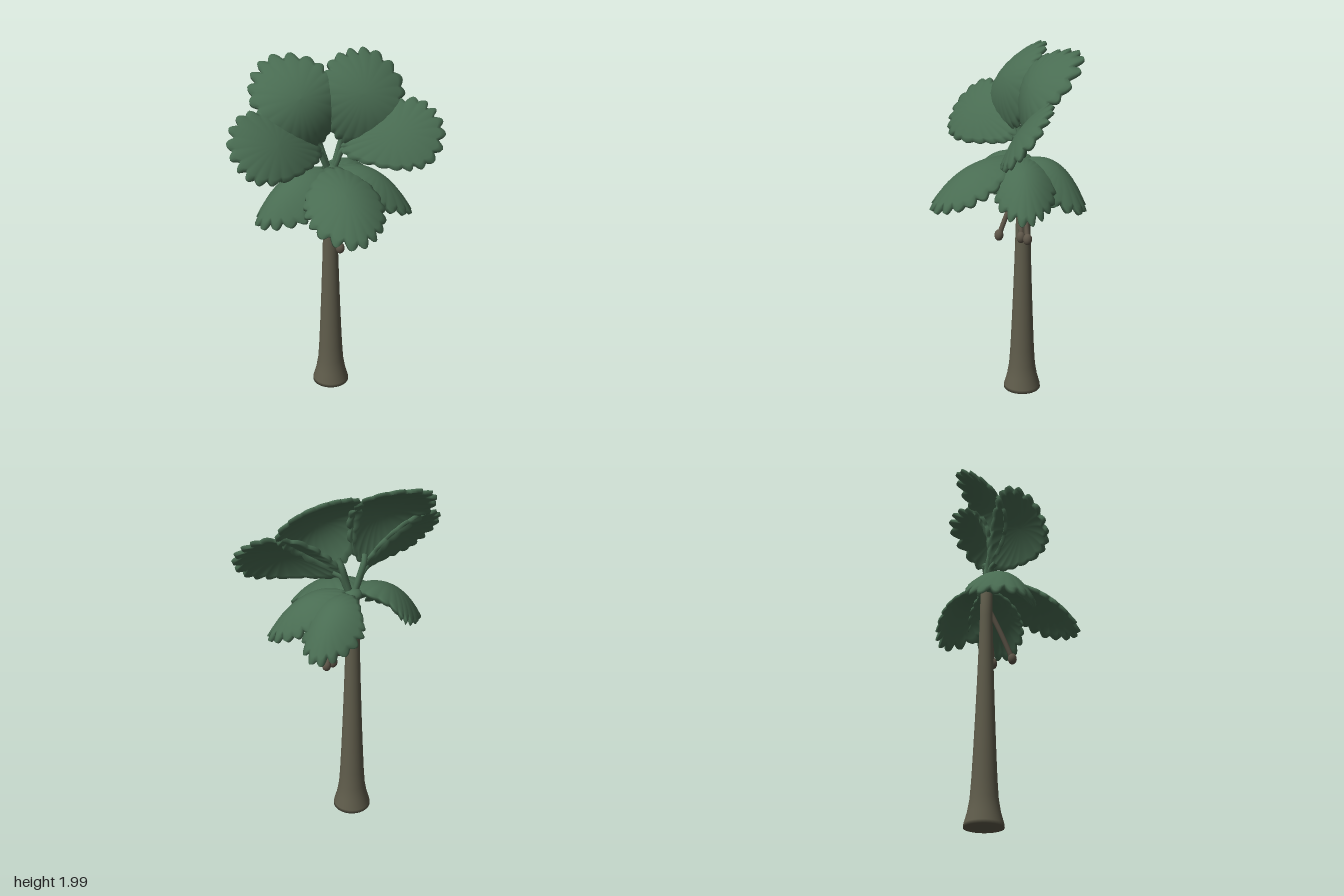
import * as THREE from 'three';

const V = (x, y, z) => new THREE.Vector3(x, y, z);
const leafGreen = new THREE.MeshStandardMaterial({ color: 0x496c52 });
leafGreen.name = 'leaf green';
const barkBrown = new THREE.MeshStandardMaterial({ color: 0x5f5c4b });
barkBrown.name = 'bark brown';
const fruitBrown = new THREE.MeshStandardMaterial({ color: 0x5d5548 });
fruitBrown.name = 'fruit brown';

const TRUNK_Z = -0.145;

function add(group, name, geometry, material) {
  const mesh = new THREE.Mesh(geometry, material);
  mesh.name = name;
  group.add(mesh);
  return mesh;
}

// Scalloped blade bent along a midrib curve: one closed grid of rings, up over the top and back underneath
function bladeGeometry(curve, up, halfWidth, droop, taper) {
  const SEG = 160, RINGS = 8, THICK = 0.02, LOBES = 20;
  const [p0, p1, p2] = [curve.v0, curve.v1, curve.v2];
  const profile = [];
  for (let i = 0; i <= RINGS; i++) profile.push([Math.max(0.001, i / RINGS), 0.5]);
  for (let i = RINGS; i >= 0; i--) profile.push([Math.max(0.001, i / RINGS), -0.5]);
  const pos = [], index = [];
  for (const [r, layer] of profile) {
    for (let j = 0; j < SEG; j++) {
      const a = (j / SEG) * Math.PI * 2;
      const hump = Math.abs(Math.sin((a * LOBES) / 2 + 0.4 * Math.sin(3 * a)));
      const tipward = (0.3 + 0.35 * (1 + Math.sin(a))) * (0.8 + 0.25 * Math.sin(7 * a));
      const rr = r * (1 - 0.18 * (1 - hump) * tipward * r ** 3);
      const t = 0.5 + 0.5 * rr * Math.sin(a);
      const u = halfWidth * rr * Math.cos(a) * (1 + taper * (t - 0.6));
      // point and frame on the midrib (formula also holds a little past its ends)
      const m = V(0, 0, 0).addScaledVector(p0, (1 - t) ** 2).addScaledVector(p1, 2 * t * (1 - t)).addScaledVector(p2, t * t);
      const tan = p1.clone().sub(p0).multiplyScalar(1 - t).addScaledVector(p2.clone().sub(p1), t).normalize();
      const side = tan.clone().cross(up).normalize();
      const normal = side.clone().cross(tan);
      const h = layer * THICK - droop * u * u + 0.004 * (hump - 0.5) * r ** 3;
      m.addScaledVector(side, u).addScaledVector(normal, h);
      pos.push(m.x, m.y, m.z);
    }
  }
  for (let i = 0; i < profile.length - 1; i++) {
    for (let j = 0; j < SEG; j++) {
      const k = (j + 1) % SEG;
      const a = i * SEG + j, b = (i + 1) * SEG + j, c = (i + 1) * SEG + k, d = i * SEG + k;
      index.push(a, b, c, a, c, d);
    }
  }
  const g = new THREE.BufferGeometry();
  g.setAttribute('position', new THREE.Float32BufferAttribute(pos, 3));
  g.setIndex(index);
  g.computeVertexNormals();
  return g;
}

// Blade plus the stalk that runs from the crown to the underside of the blade
function leaf(name, base, mid, tip, up, halfWidth, droop, taper, stalkRadius) {
  const group = new THREE.Group();
  group.name = name;
  const curve = new THREE.QuadraticBezierCurve3(base, mid, tip);
  add(group, 'blade', bladeGeometry(curve, up, halfWidth, droop, taper), leafGreen);
  const foot = V(base.x * 0.1, 1.36, TRUNK_Z + 0.01);
  const under = (t) => curve.getPoint(t).addScaledVector(up, -stalkRadius * 0.6);
  const path = new THREE.CatmullRomCurve3([foot, foot.clone().lerp(under(0), 0.5), under(0), under(0.07)]);
  add(group, 'leafStalk', new THREE.TubeGeometry(path, 16, stalkRadius, 10), leafGreen);
  return group;
}

export function createModel() {
  const model = new THREE.Group();
  model.name = 'palmTree';

  // Trunk with a flared foot
  const outline = [[0, 0], [0.107, 0], [0.105, 0.02], [0.088, 0.08], [0.076, 0.15], [0.069, 0.25], [0.062, 0.4],
    [0.054, 0.6], [0.047, 0.8], [0.041, 1.0], [0.036, 1.2], [0.034, 1.36], [0, 1.38]];
  const trunk = add(model, 'trunk', new THREE.LatheGeometry(outline.map(([r, y]) => new THREE.Vector2(r, y)), 32), barkBrown);
  trunk.position.z = TRUNK_Z;

  // Crown hub
  const hub = add(model, 'crownHub', new THREE.SphereGeometry(0.05, 20, 14), leafGreen);
  hub.position.set(0, 1.375, TRUNK_Z);
  hub.scale.y = 0.7;

  // Raised leaves, mirrored pairs
  for (const s of [-1, 1]) {
    model.add(leaf('topLeaf', V(s * 0.06, 1.54, -0.13), V(s * 0.17, 1.85, 0.03), V(s * 0.295, 1.965, -0.35),
      V(-s * 0.2, 0.08, 1).normalize(), 0.24, 0.9, 0.45, 0.017));
    model.add(leaf('sideLeaf', V(s * 0.06, 1.49, -0.12), V(s * 0.32, 1.65, 0.06), V(s * 0.59, 1.61, 0.03),
      V(0, 0.62, 0.78), 0.21, 0.8, 0.6, 0.017));
  }

  // Drooping leaves around the trunk
  model.add(leaf('frontLeaf', V(0, 1.39, -0.12), V(0, 1.42, 0.2), V(0, 1.13, 0.38), V(0, 1, 0), 0.225, 1.9, 0.25, 0.02));
  for (const [azimuth, reach, halfWidth] of [[165, 0.45, 0.205], [20, 0.45, 0.17], [-34, 0.38, 0.175]]) {
    const a = THREE.MathUtils.degToRad(azimuth);
    const at = (r, y) => V(r * Math.cos(a), y, TRUNK_Z + r * Math.sin(a));
    model.add(leaf('lowerLeaf', at(0.03, 1.38), at(reach * 0.62, 1.45), at(reach, 1.13), V(0, 1, 0), halfWidth, 3.6, 0.35, 0.02));
  }

  // Hanging fruit on thin stalks
  for (const [x, z] of [[0.015, 0.005], [0.095, -0.095], [0.142, -0.115]]) {
    const group = new THREE.Group();
    group.name = 'hangingFruit';
    const start = V(x * 0.15, 1.24, TRUNK_Z + (z - TRUNK_Z) * 0.15);
    const path = new THREE.QuadraticBezierCurve3(start, V(x * 0.55, 1.11, TRUNK_Z + (z - TRUNK_Z) * 0.6), V(x, 0.96, z));
    add(group, 'fruitStalk', new THREE.TubeGeometry(path, 14, 0.014, 10), fruitBrown);
    const fruit = add(group, 'fruit', new THREE.SphereGeometry(0.025, 16, 12), fruitBrown);
    fruit.position.set(x, 0.963, z);
    fruit.scale.y = 1.3;
    model.add(group);
  }
  return model;
}
